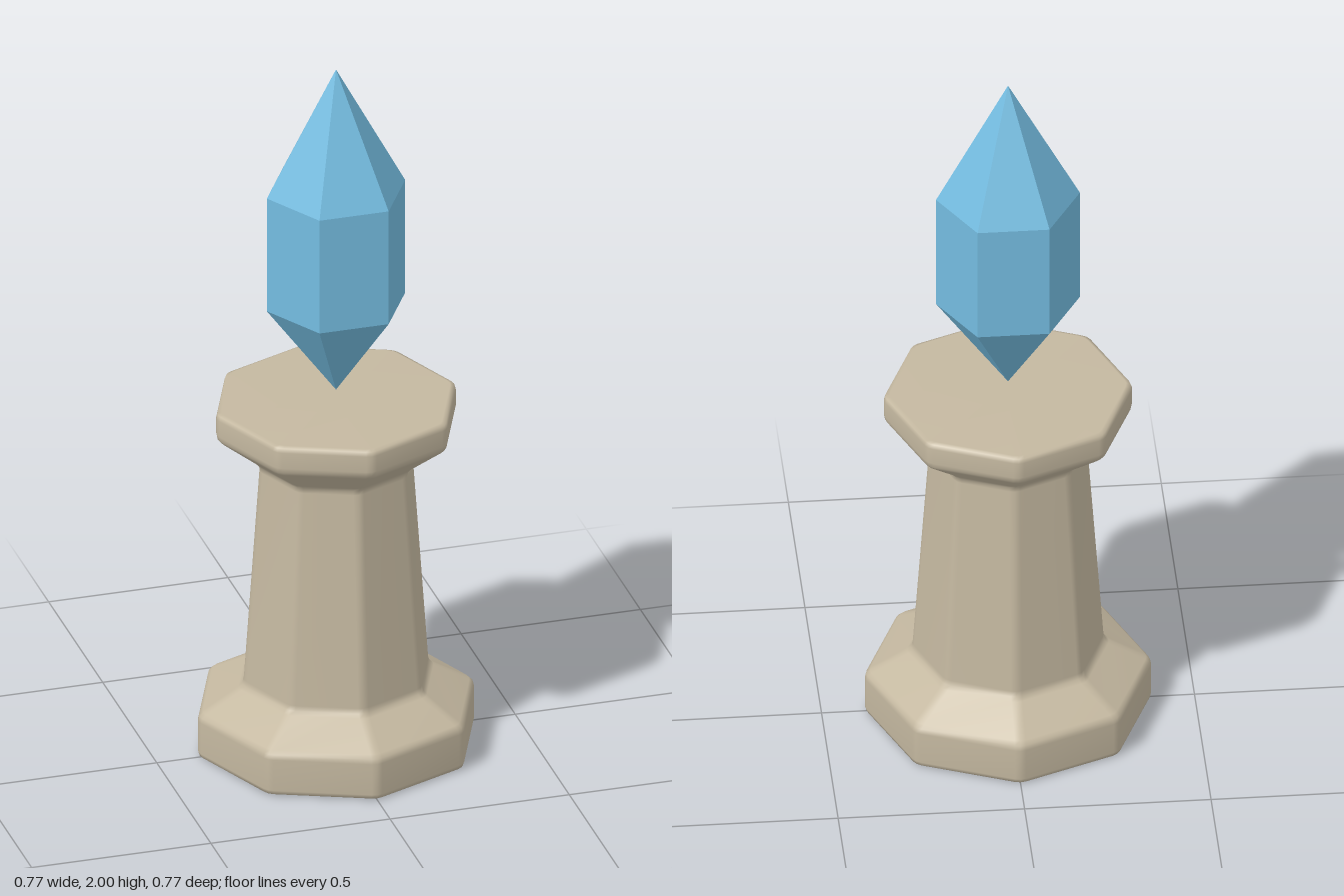
import * as THREE from 'three';

const stone = new THREE.MeshStandardMaterial({ color: 0xc4b8a0 });
stone.name = 'stone';
const crystalBlue = new THREE.MeshStandardMaterial({ color: 0x74bce0, flatShading: true });
crystalBlue.name = 'crystal blue';

const SIDES = 8;
const BEVEL = 0.016;

// Replaces corner b (between a and c) by three points of a small round
function roundCorner(a, b, c, d) {
  const p = b.clone().add(a.clone().sub(b).setLength(d));
  const q = b.clone().add(c.clone().sub(b).setLength(d));
  const mid = p.clone().add(q).multiplyScalar(0.25).addScaledVector(b, 0.5);
  return [p, mid, q];
}

// Octagon with softened corners, one corner on each axis; x, y stand for x, z
function octagon(radius) {
  const corner = (k) => {
    const t = (k / SIDES) * Math.PI * 2;
    return new THREE.Vector2(Math.sin(t) * radius, Math.cos(t) * radius);
  };
  const points = [];
  for (let k = 0; k < SIDES; k++) {
    points.push(...roundCorner(corner(k - 1), corner(k), corner(k + 1), BEVEL));
  }
  return points;
}

// Stacks octagons along a bevelled profile and closes both ends
function pedestalGeometry(profile) {
  const sharp = profile.map(([r, y]) => new THREE.Vector2(r, y));
  const rings = [];
  for (let i = 1; i < sharp.length - 1; i++) {
    rings.push(...roundCorner(sharp[i - 1], sharp[i], sharp[i + 1], BEVEL));
  }
  const positions = [];
  const index = [];
  const n = SIDES * 3;
  for (const ring of rings) {
    for (const p of octagon(ring.x)) positions.push(p.x, ring.y, p.y);
  }
  const bottom = rings.length * n;
  const top = bottom + 1;
  positions.push(0, sharp[0].y, 0, 0, sharp[sharp.length - 1].y, 0);
  const last = (rings.length - 1) * n;
  for (let j = 0; j < n; j++) {
    const k = (j + 1) % n;
    for (let i = 0; i < last; i += n) {
      index.push(i + j, i + k, i + n + k, i + j, i + n + k, i + n + j);
    }
    index.push(bottom, k, j, top, last + j, last + k);
  }
  const geometry = new THREE.BufferGeometry();
  geometry.setAttribute('position', new THREE.Float32BufferAttribute(positions, 3));
  geometry.setIndex(index);
  geometry.computeVertexNormals(); // area-weighted: flat faces, soft bevels
  return geometry;
}

export function createModel() {
  const model = new THREE.Group();
  model.name = 'crystalPedestal';

  // Stone column: plinth, tapering shaft and flared capital
  const pedestal = new THREE.Mesh(pedestalGeometry([
    [0, 0], [0.387, 0], [0.387, 0.123], [0.26, 0.197],
    [0.214, 0.845], [0.336, 0.94], [0.336, 1.018], [0, 1.018],
  ]), stone);
  pedestal.name = 'pedestal';
  model.add(pedestal);

  // Six-sided crystal floating just above the capital
  const crystalProfile = [[0, 1.043], [0.193, 1.305], [0.193, 1.642], [0, 2]]
    .map(([r, y]) => new THREE.Vector2(r, y));
  const crystal = new THREE.Mesh(
    new THREE.LatheGeometry(crystalProfile, 6, Math.PI / 2), crystalBlue);
  crystal.name = 'crystal';
  model.add(crystal);

  return model;
}
